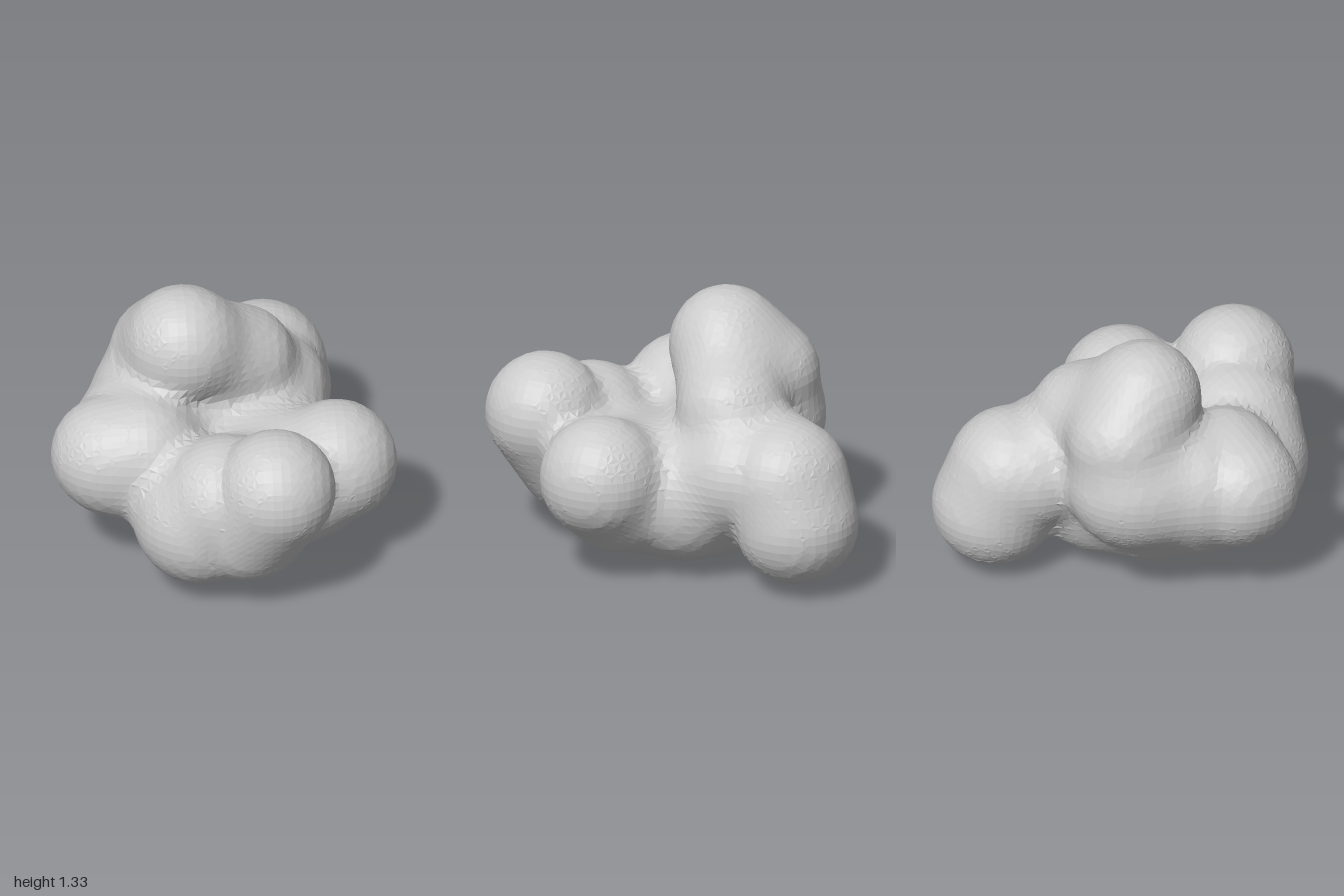
import * as THREE from 'three';

// Rounded limbs: chains of spheres [x, y, z, radius] joined by smooth capsules.
const LIMBS = [
  // top knob with its two roots
  [[-0.18, 1.065, -0.11, 0.275], [-0.24, 0.89, -0.28, 0.285], [-0.27, 0.66, -0.24, 0.33], [-0.1, 0.5, -0.1, 0.33]],
  [[-0.16, 1.0, -0.13, 0.27], [0.12, 0.83, -0.265, 0.275]],
  // right-hand side lobe (-x), widening towards the rear and below
  [[-0.57, 0.615, 0.2, 0.29], [-0.4, 0.65, 0.22, 0.285], [-0.42, 0.62, 0.01, 0.31], [-0.27, 0.64, -0.22, 0.32]],
  [[-0.46, 0.57, 0.17, 0.3], [-0.33, 0.5, 0.1, 0.33], [-0.1, 0.4, -0.05, 0.33]],
  // left-hand side lobe (+x)
  [[0.555, 0.55, 0.255, 0.307], [0.41, 0.45, 0.21, 0.33], [0.2, 0.4, 0.07, 0.33]],
  // front lobe curling down to the lowest point
  [[0.22, 0.7, 0.7, 0.3], [0.08, 0.46, 0.575, 0.325], [-0.02, 0.56, 0.55, 0.32], [-0.13, 0.42, 0.49, 0.345],
    [-0.12, 0.34, 0.41, 0.32], [-0.1, 0.315, 0.2, 0.31]],
  // back lobe, drooping at the rear
  [[0.3, 0.365, -0.69, 0.31], [0.26, 0.56, -0.61, 0.32], [0.21, 0.57, -0.54, 0.31], [0.26, 0.56, -0.38, 0.31],
    [0.22, 0.45, -0.1, 0.31]],
  // belly
  [[0.16, 0.4, 0.3, 0.335], [0.1, 0.365, -0.2, 0.31], [0.27, 0.37, -0.09, 0.3]],
];
const BLEND = 0.09;
const STEP = 0.045;

function capsule(x, y, z, a, b) {
  const d = [b[0] - a[0], b[1] - a[1], b[2] - a[2]];
  const dot = (x - a[0]) * d[0] + (y - a[1]) * d[1] + (z - a[2]) * d[2];
  const t = Math.min(1, Math.max(0, dot / (d[0] ** 2 + d[1] ** 2 + d[2] ** 2)));
  const dist = Math.hypot(x - a[0] - t * d[0], y - a[1] - t * d[1], z - a[2] - t * d[2]);
  return dist - (a[3] + t * (b[3] - a[3]));
}

// Plain union along a limb, smooth union between limbs.
function field(x, y, z) {
  let total = 10;
  for (const limb of LIMBS) {
    let d = 10;
    for (let i = 1; i < limb.length; i++) d = Math.min(d, capsule(x, y, z, limb[i - 1], limb[i]));
    const h = Math.max(BLEND - Math.abs(total - d), 0) / BLEND;
    total = Math.min(total, d) - h * h * BLEND * 0.25;
  }
  return total;
}

// Surface net: one vertex per crossed grid cell, one quad per crossed grid edge.
function surfaceNet(min, max) {
  const n = min.map((v, i) => Math.ceil((max[i] - v) / STEP) + 1);
  const stride = [1, n[0], n[0] * n[1]];
  const values = new Float32Array(n[0] * n[1] * n[2]).fill(10);
  const eachPoint = (from, fn) => {
    for (let k = from; k < n[2] - 1; k++)
      for (let j = from; j < n[1] - 1; j++)
        for (let i = from; i < n[0] - 1; i++) fn([i, j, k], i + j * stride[1] + k * stride[2]);
  };
  eachPoint(0, (p, id) => {
    values[id] = field(...p.map((c, i) => min[i] + c * STEP));
  });

  const positions = [];
  const vertexOf = new Map();
  eachPoint(0, (p, id) => {
    const sum = [0, 0, 0];
    let count = 0;
    for (let corner = 0; corner < 8; corner++) {
      for (let axis = 0; axis < 3; axis++) {
        if (corner & (1 << axis)) continue;
        const o = [corner & 1, (corner >> 1) & 1, corner >> 2];
        const start = id + o[0] + o[1] * stride[1] + o[2] * stride[2];
        const v0 = values[start], v1 = values[start + stride[axis]];
        if (v0 < 0 === v1 < 0) continue;
        o[axis] += v0 / (v0 - v1);
        o.forEach((v, i) => { sum[i] += v; });
        count++;
      }
    }
    if (!count) return;
    vertexOf.set(id, positions.length / 3);
    positions.push(...p.map((c, i) => min[i] + (c + sum[i] / count) * STEP));
  });

  const index = [];
  eachPoint(1, (p, id) => {
    for (let axis = 0; axis < 3; axis++) {
      const inside = values[id] < 0;
      if (inside === values[id + stride[axis]] < 0) continue;
      const b = stride[(axis + 1) % 3], c = stride[(axis + 2) % 3];
      const q = [id - b - c, id - c, id, id - b].map((cell) => vertexOf.get(cell));
      if (!inside) q.reverse();
      index.push(q[0], q[1], q[2], q[0], q[2], q[3]);
    }
  });

  const geometry = new THREE.BufferGeometry();
  geometry.setAttribute('position', new THREE.Float32BufferAttribute(positions, 3));
  geometry.setIndex(index);
  geometry.computeVertexNormals();
  return geometry;
}

export function createModel() {
  const group = new THREE.Group();
  group.name = 'blob';
  const body = new THREE.Mesh(
    surfaceNet([-1.05, -0.2, -1.2], [1.05, 1.55, 1.2]),
    new THREE.MeshStandardMaterial({ color: 0xcccccc, flatShading: true }),
  );
  body.name = 'lobedBody';
  group.add(body);
  return group;
}
